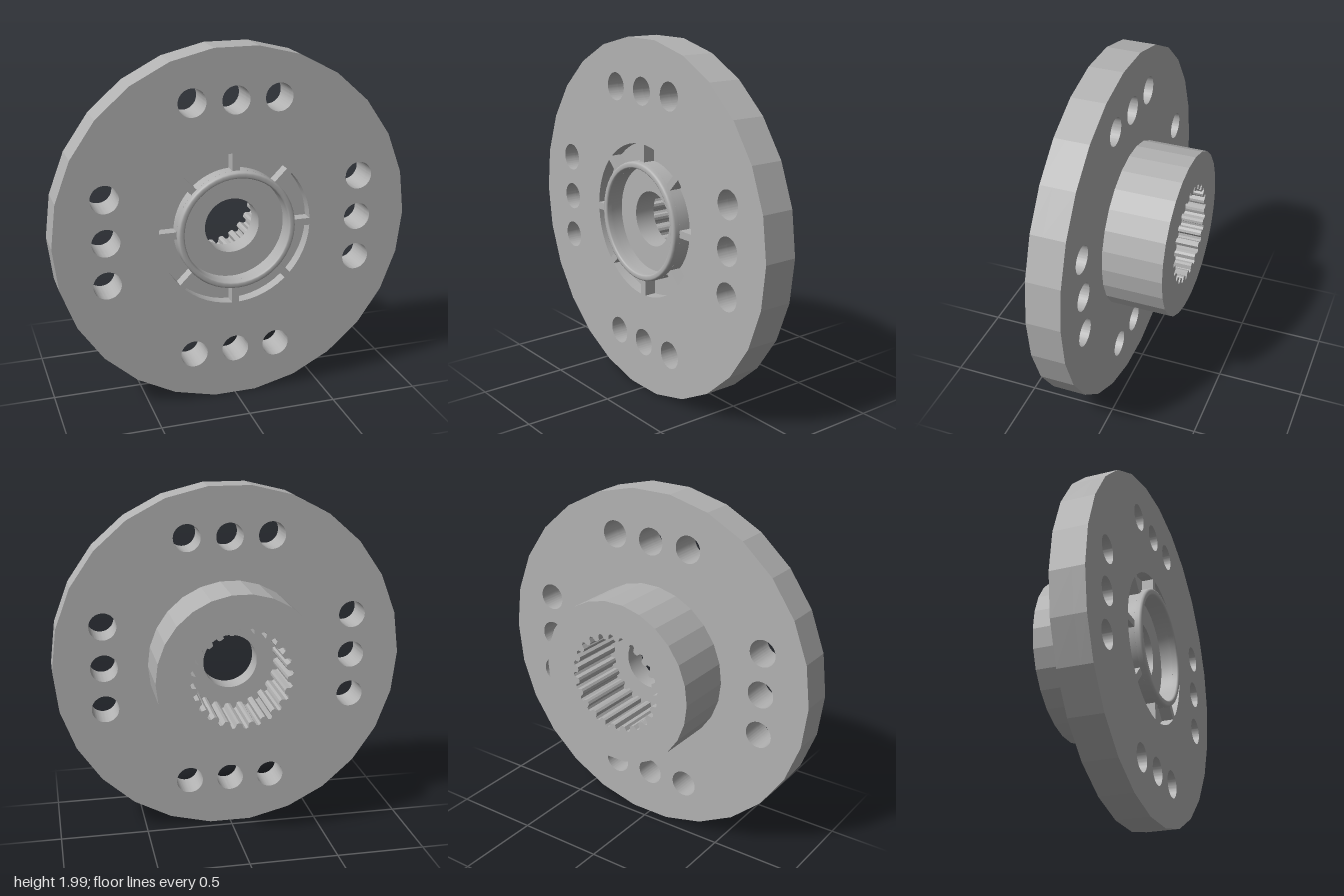
import * as THREE from 'three';
import { toCreasedNormals } from 'three/addons/utils/BufferGeometryUtils.js';

const SIDES = 26;
const CENTER_Y = Math.cos(Math.PI / SIDES);
const BACK = -0.283, FLANGE_BACK = 0.055, POCKET_FLOOR = 0.178, FACE = 0.245, FRONT = 0.283;
const BORE_R = 0.155, RECESS_R = 0.297, RING_R = 0.333, POCKET_R = 0.43;

// Faceted outline of the turned parts
function polygon(radius) {
  const points = [];
  for (let i = 0; i < SIDES; i++) {
    const a = (i / SIDES) * Math.PI * 2;
    points.push(new THREE.Vector2(radius * Math.cos(a), radius * Math.sin(a)));
  }
  return new THREE.Shape(points);
}

function circle(x, y, radius) {
  return new THREE.Path().absarc(x, y, radius, 0, Math.PI * 2, true);
}

// Four rows of three bolt holes
function boltHoles() {
  const holes = [];
  for (const side of [-1, 1]) {
    for (const offset of [-0.24, 0, 0.24]) {
      holes.push(circle(side * 0.715, offset, 0.077));
      holes.push(circle(offset, side * 0.715, 0.077));
    }
  }
  return holes;
}

// Eight arc pockets separated by parallel-sided ribs
function pockets() {
  const paths = [];
  const halfRib = 0.02;
  const outer = Math.asin(halfRib / POCKET_R), inner = Math.asin(halfRib / RING_R);
  for (let i = 0; i < 8; i++) {
    const a = (i * Math.PI) / 4, b = a + Math.PI / 4;
    const points = [];
    for (let k = 0; k <= 6; k++) {
      const t = THREE.MathUtils.lerp(a + outer, b - outer, k / 6);
      points.push(new THREE.Vector2(Math.cos(t) * POCKET_R, Math.sin(t) * POCKET_R));
    }
    for (let k = 6; k >= 0; k--) {
      const t = THREE.MathUtils.lerp(a + inner, b - inner, k / 6);
      points.push(new THREE.Vector2(Math.cos(t) * RING_R, Math.sin(t) * RING_R));
    }
    paths.push(new THREE.Path(points));
  }
  return paths;
}

// Internal spline outline with evenly spaced teeth
function splineHole() {
  const teeth = 24, points = [];
  const profile = [[0, 0.255], [0.22, 0.251], [0.44, 0.255], [0.54, 0.279], [0.72, 0.286], [0.9, 0.279]];
  for (let i = 0; i < teeth; i++) {
    for (const [t, r] of profile) {
      const a = ((i + t) / teeth) * Math.PI * 2;
      points.push(new THREE.Vector2(r * Math.cos(a), r * Math.sin(a)));
    }
  }
  return new THREE.Path(points);
}

export function createModel() {
  const model = new THREE.Group();
  model.name = 'splinedFlange';
  const metal = new THREE.MeshStandardMaterial({ color: 0xb2b2b2 });
  metal.name = 'grey metal';

  function addMesh(name, geometry) {
    const mesh = new THREE.Mesh(geometry, metal);
    mesh.name = name;
    mesh.position.y = CENTER_Y;
    model.add(mesh);
  }

  function addSlab(name, radius, holes, z0, z1) {
    const shape = polygon(radius);
    shape.holes.push(...holes);
    const geometry = new THREE.ExtrudeGeometry(shape, { depth: z1 - z0, bevelEnabled: false, curveSegments: 36 });
    geometry.translate(0, 0, z0);
    // Round holes shade smoothly, the outer facets stay sharp
    addMesh(name, toCreasedNormals(geometry, 0.2));
  }

  addSlab('splinedHub', 0.47, [splineHole()], BACK, FLANGE_BACK);
  addSlab('flangeWeb', 1, [circle(0, 0, BORE_R), ...boltHoles()], FLANGE_BACK, POCKET_FLOOR);
  addSlab('flangeFace', 1, [circle(0, 0, RECESS_R), ...pockets(), ...boltHoles()], POCKET_FLOOR, FACE);

  // Raised lip with rounded front edge
  const lip = [
    [RING_R, FACE], [RING_R, FRONT - 0.014], [RING_R - 0.004, FRONT - 0.004], [RING_R - 0.012, FRONT],
    [RECESS_R + 0.009, FRONT], [RECESS_R + 0.003, FRONT - 0.003], [RECESS_R, FRONT - 0.01], [RECESS_R, FACE],
  ].map(([r, z]) => new THREE.Vector2(r, z));
  addMesh('raisedLip', new THREE.LatheGeometry(lip, 48).rotateX(Math.PI / 2));

  return model;
}
